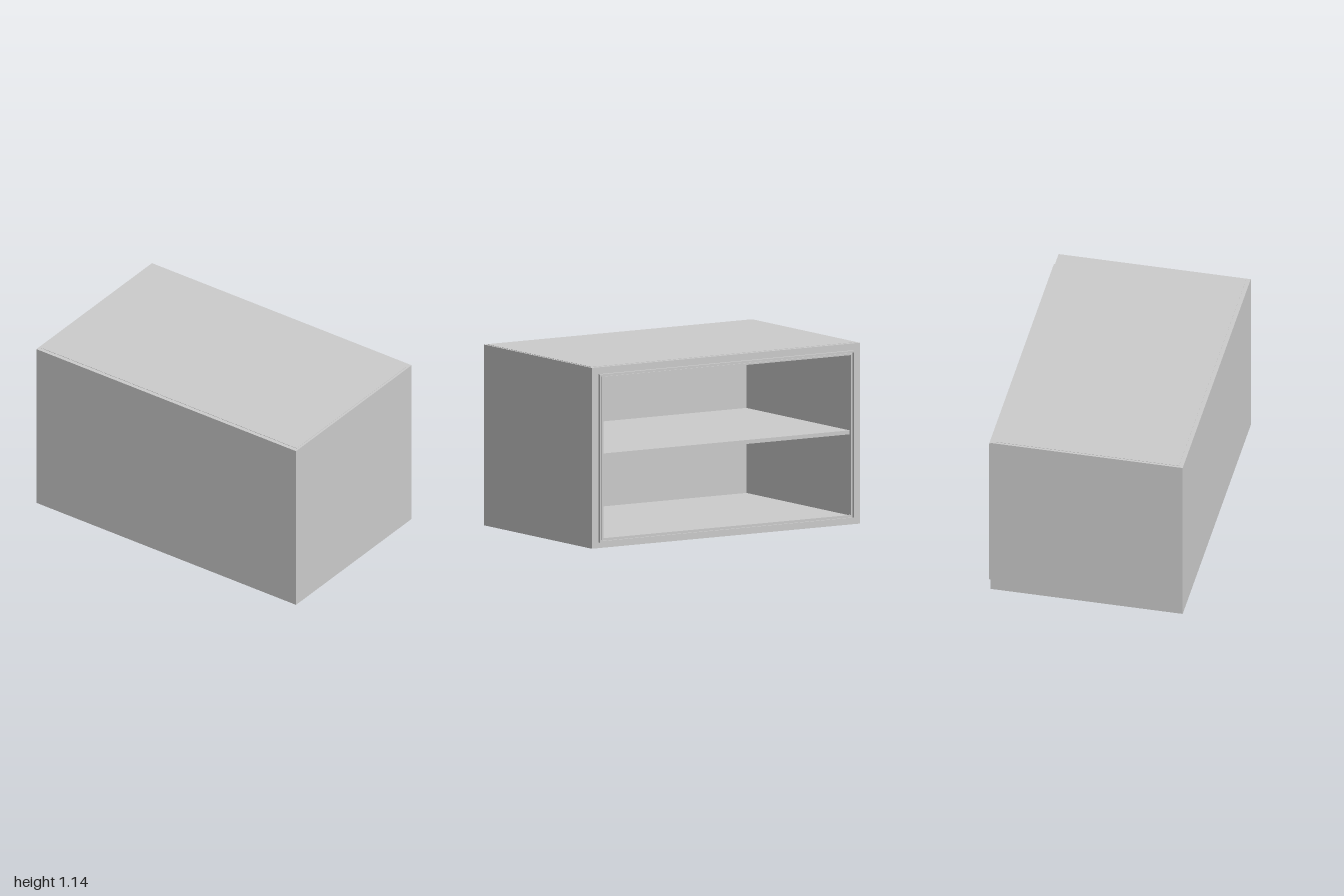
import * as THREE from 'three';

const W = 2, H = 1.138, BACK = -0.603, FRONT = 0.622, WALL = 0.05;
const material = new THREE.MeshStandardMaterial({ color: 0xcccccc });

export function createModel() {
  const group = new THREE.Group();

  const add = (name, geometry) => {
    const mesh = new THREE.Mesh(geometry, material);
    mesh.name = name;
    group.add(mesh);
  };

  // Box given by its minimum and maximum corners
  const box = (name, x0, x1, y0, y1, z0, z1) => {
    const g = new THREE.BoxGeometry(x1 - x0, y1 - y0, z1 - z0);
    g.translate((x0 + x1) / 2, (y0 + y1) / 2, (z0 + z1) / 2);
    add(name, g);
  };

  const rect = (path, hx, y0, y1) => {
    path.moveTo(-hx, y0);
    path.lineTo(hx, y0);
    path.lineTo(hx, y1);
    path.lineTo(-hx, y1);
    path.closePath();
    return path;
  };

  // Rectangular frame: outer and inner are [half width, bottom, top]
  const frame = (name, outer, inner, z0, z1) => {
    const shape = rect(new THREE.Shape(), ...outer);
    shape.holes.push(rect(new THREE.Path(), ...inner));
    const g = new THREE.ExtrudeGeometry(shape, { depth: z1 - z0, bevelEnabled: false });
    g.translate(0, 0, z0);
    add(name, g);
  };

  // Hollow cabinet shell, open at the back
  const opening = [0.925, 0.057, 1.073];
  frame('cabinetShell', [W / 2, 0, H], opening, BACK, FRONT - WALL);
  box('frontPanel', -W / 2, W / 2, 0, H, FRONT - WALL, FRONT);

  // Slightly raised top sheet
  box('topSheet', -0.985, 0.985, H, H + 0.002, -0.575, 0.595);

  // Stepped sealing strip round the opening: base with two ridges
  const inset = (d) => [0.95 - d, 0.035 + d, 1.095 - d];
  frame('sealBase', inset(0), inset(0.027), BACK - 0.007, BACK);
  frame('sealOuterRidge', inset(0), inset(0.01), -0.622, BACK - 0.007);
  frame('sealInnerRidge', inset(0.016), inset(0.027), -0.617, BACK - 0.007);

  // Middle shelf
  box('shelf', -opening[0], opening[0], 0.567, 0.592, BACK + 0.005, FRONT - WALL);

  return group;
}
